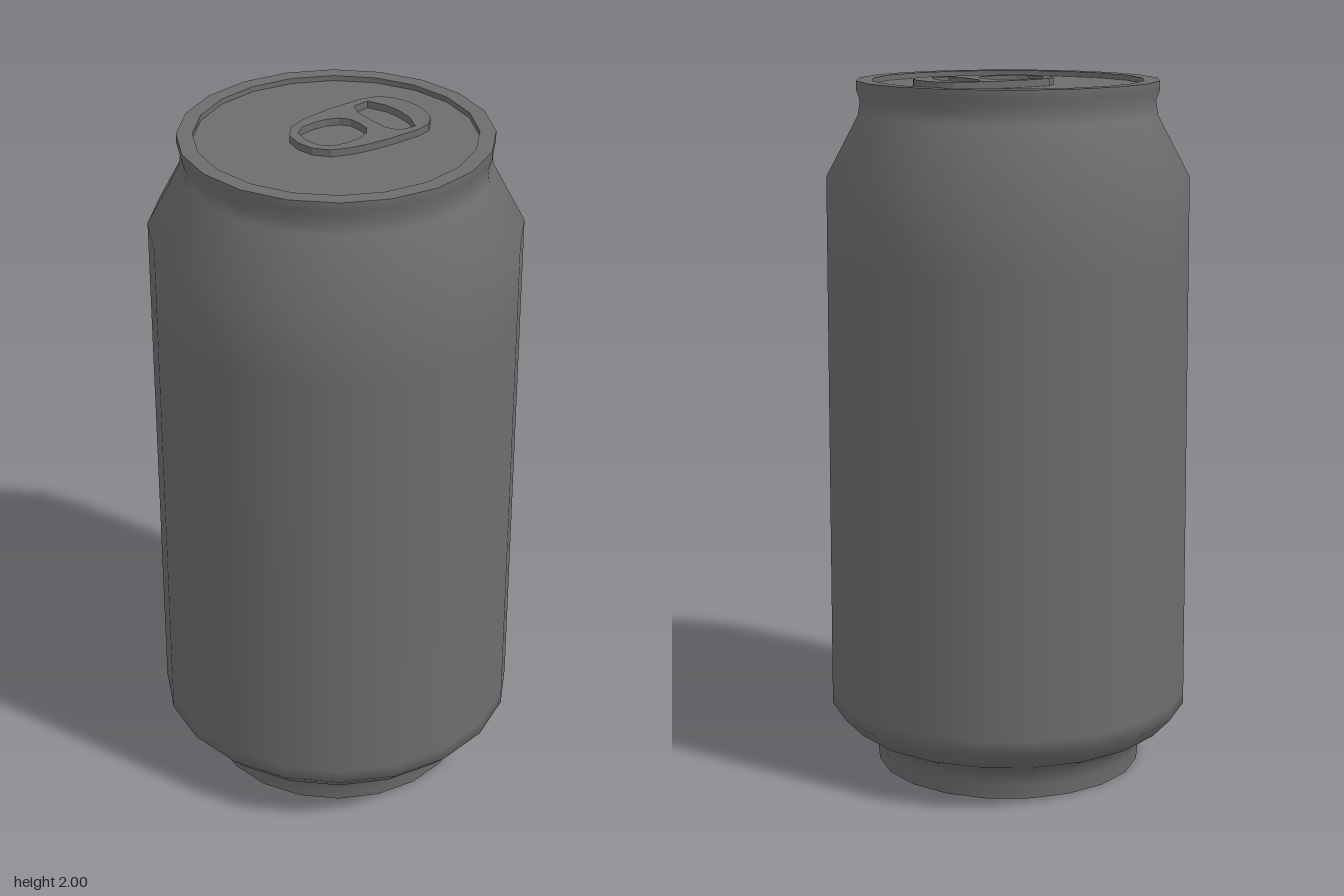
import * as THREE from 'three';

const SIDES = 20;
const material = new THREE.MeshStandardMaterial({ color: 0x6d6d6d });

// Revolves a profile of [radius, height] pairs, listed from the underside outwards and up
function turned(name, profile) {
  const points = profile.map(([r, y]) => new THREE.Vector2(r, y));
  const mesh = new THREE.Mesh(new THREE.LatheGeometry(points, SIDES), material);
  mesh.name = name;
  return mesh;
}

// Closed anticlockwise outline mirrored in x, from one half of [x, z] pairs running back to front
function mirroredOutline(half, Type) {
  const right = half.filter(([x]) => x > 0).reverse();
  const left = half.map(([x, z]) => [-x, z]);
  return new Type([...left, ...right].map(([x, z]) => new THREE.Vector2(x, -z)));
}

function createPullTab() {
  const tab = mirroredOutline([
    [0, -0.277], [0.045, -0.271], [0.085, -0.255], [0.115, -0.225], [0.126, -0.18],
    [0.126, -0.08], [0.119, -0.01], [0.11, 0.035], [0.09, 0.085], [0.05, 0.118], [0, 0.128],
  ], THREE.Shape);
  // Slot at the nose and finger hole at the tail
  tab.holes.push(
    mirroredOutline([
      [0, -0.215], [0.05, -0.21], [0.104, -0.187], [0.099, -0.137], [0.06, -0.118], [0, -0.117],
    ], THREE.Path),
    mirroredOutline([
      [0, -0.078], [0.035, -0.075], [0.06, -0.055], [0.075, -0.02], [0.078, 0.02],
      [0.072, 0.06], [0.05, 0.09], [0, 0.1],
    ], THREE.Path),
  );
  const geometry = new THREE.ExtrudeGeometry(tab, { depth: 0.022, bevelEnabled: false });
  geometry.rotateX(-Math.PI / 2);
  const mesh = new THREE.Mesh(geometry, material);
  mesh.name = 'pullTab';
  mesh.position.y = 1.978;
  return mesh;
}

export function createModel() {
  const can = new THREE.Group();
  can.name = 'drinkCan';
  can.add(
    turned('base', [[0, 0], [0.385, 0]]),
    // Foot, lower shoulder, wall, upper shoulder, neck and outside of the rim
    turned('body', [
      [0.385, 0], [0.388, 0.04], [0.397, 0.075], [0.418, 0.1], [0.47, 0.125],
      [0.522, 0.18], [0.522, 0.22], [0.516, 1.5], [0.515, 1.73],
      [0.424, 1.9], [0.418, 1.94], [0.428, 1.97], [0.428, 1.995],
    ]),
    turned('rimTop', [[0.428, 1.995], [0.384, 1.995]]),
    turned('rimInside', [[0.384, 1.995], [0.384, 1.98]]),
    turned('lid', [[0.384, 1.98], [0, 1.98]]),
    createPullTab(),
  );
  return can;
}
